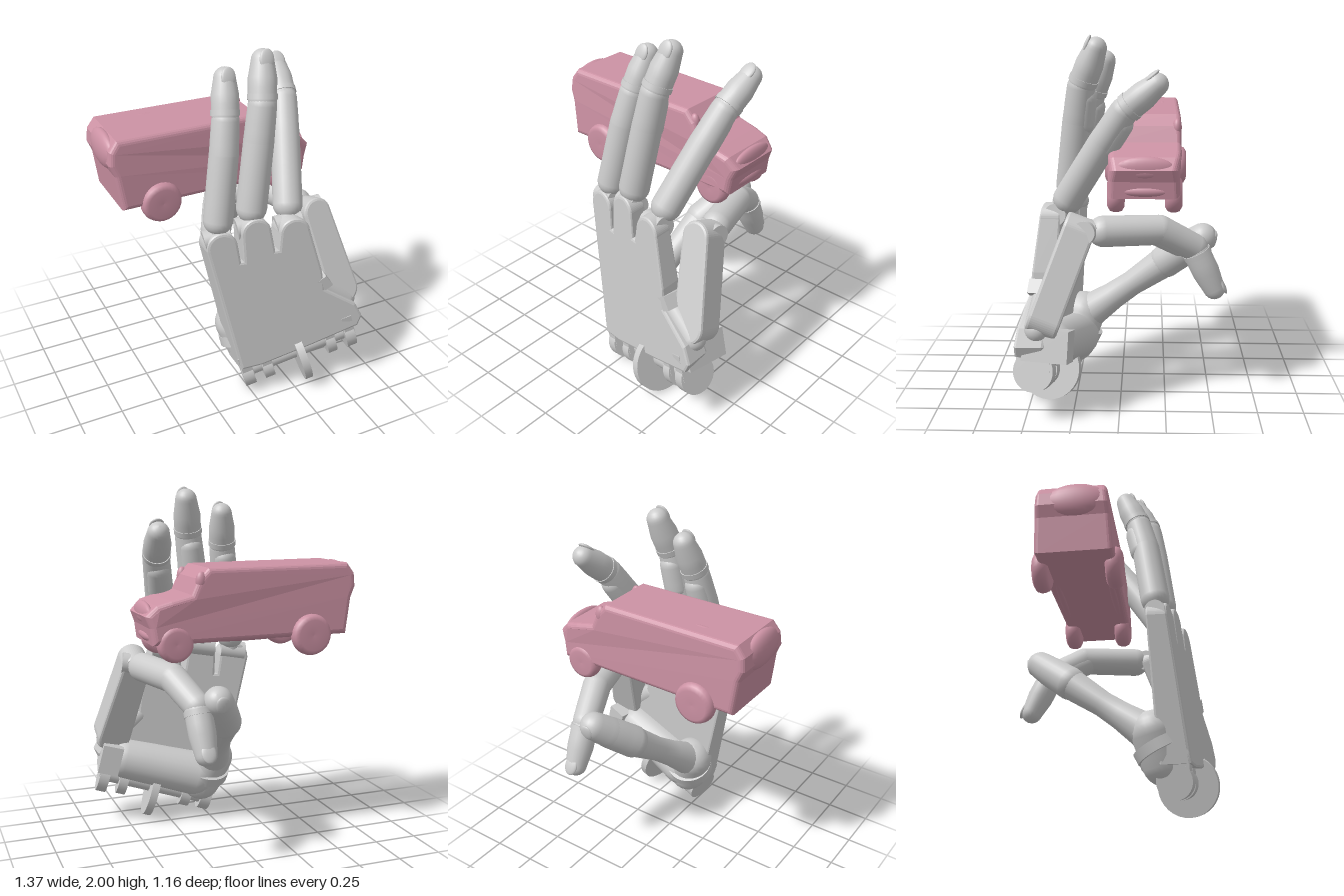
import * as THREE from 'three';

const grey = new THREE.MeshStandardMaterial({ color: 0xcccccc });
const pink = new THREE.MeshStandardMaterial({ color: 0xcc92a4 });
const V = (p) => new THREE.Vector3(...p);
const UP = new THREE.Vector3(0, 1, 0);
const HINGE = V([0.94, 0.28, 0.2]).normalize(); // wrist axis

// back surface of the tilted palm
const backZ = (x, y) => 0.38 + 0.19 * x - 0.08 * (y - 1);

function add(parent, name, geo, mat = grey) {
  const m = new THREE.Mesh(geo, mat);
  m.name = name;
  parent.add(m);
  return m;
}

// round limb between two joint centres, radii r0 and r1, optional waist radius
function limb(parent, name, a, b, r0, r1, waist = (r0 + r1) / 2) {
  const A = V(a), d = V(b).sub(A), L = d.length(), pts = [], n = 6;
  for (let i = 0; i <= n; i++) {
    const t = (i / n) * Math.PI / 2;
    pts.push(new THREE.Vector2(r0 * Math.sin(t), -r0 * Math.cos(t)));
  }
  pts.push(new THREE.Vector2((r0 + waist * 3) / 4, L * 0.3), new THREE.Vector2(waist, L * 0.55));
  for (let i = 0; i <= n; i++) {
    const t = (i / n) * Math.PI / 2;
    pts.push(new THREE.Vector2(r1 * Math.cos(t), L + r1 * Math.sin(t)));
  }
  const m = add(parent, name, new THREE.LatheGeometry(pts, 24));
  m.position.copy(A);
  m.quaternion.setFromUnitVectors(UP, d.normalize());
  return m;
}

// cylinder centred at c along an axis
function disc(parent, name, c, axis, r, h) {
  const m = add(parent, name, new THREE.CylinderGeometry(r, r, h, 32));
  m.position.copy(V(c));
  m.quaternion.setFromUnitVectors(UP, axis.clone().normalize());
  return m;
}

// finger: knuckle, proximal, middle and distal joints, then the tip
function finger(parent, name, [k, p, m, t], r) {
  const g = new THREE.Group();
  g.name = name;
  parent.add(g);
  const K = V(k), P = V(p), M = V(m), T = V(t);
  const d = T.clone().sub(M).normalize();
  const n = new THREE.Vector3(1, 0, 0).cross(d).normalize(); // outer side
  disc(g, 'knucklePin', k, V([1, 0.15, 0.2]), r * 0.72, r * 1.8);
  const start = K.clone().lerp(P, 0.22).toArray();
  limb(g, 'knuckleLink', k, start, r * 0.65, r * 0.65);
  limb(g, 'proximal', start, p, r, r * 0.97);
  limb(g, 'middleSegment', p, m, r * 0.97, r * 0.9);
  // padded inner side of the middle joint
  const inner = (q) => q.clone().addScaledVector(n, -0.025).toArray();
  limb(g, 'jointPad', inner(P), inner(P.clone().lerp(M, 0.7)), r * 0.85, r * 0.8);
  disc(g, 'distalCollar', M.clone().addScaledVector(d, 0.04).toArray(), d, r * 0.95, 0.03);
  const tip = T.clone().addScaledVector(d, -r * 0.72);
  limb(g, 'distal', M.clone().addScaledVector(d, 0.03).toArray(), tip.toArray(), r * 0.9, r * 0.72, r * 0.9);
  // nail set into the outer side of the tip
  const nail = add(g, 'nail', new THREE.SphereGeometry(1, 16, 10));
  nail.scale.set(r * 0.5, r * 0.66, r * 0.17);
  nail.position.copy(tip).addScaledVector(n, r * 0.6);
  nail.quaternion.setFromRotationMatrix(
    new THREE.Matrix4().makeBasis(d.clone().cross(n).normalize(), d, n));
}

function buildHand() {
  const hand = new THREE.Group();
  hand.name = 'hand';

  // palm plate with rounded lugs under three knuckles, sheared onto the tilted plane
  const s = new THREE.Shape();
  s.moveTo(-0.06, 0.2);
  s.lineTo(-0.225, 0.98);
  s.absarc(-0.155, 0.99, 0.07, Math.PI, 0.1, true);
  s.lineTo(-0.068, 0.875);
  s.lineTo(-0.025, 0.875);
  s.absarc(0.035, 1.05, 0.067, Math.PI, 0.1, true);
  s.lineTo(0.125, 0.915);
  s.lineTo(0.17, 0.915);
  s.absarc(0.25, 1.02, 0.07, Math.PI, 0.1, true);
  [[0.395, 0.75], [0.41, 0.63], [0.6, 0.5], [0.64, 0.42], [0.62, 0.37], [0.35, 0.29], [0.05, 0.21]]
    .forEach(([x, y]) => s.lineTo(x, y));
  s.closePath();
  const bevel = 0.015;
  const geo = new THREE.ExtrudeGeometry(s, {
    depth: 0.13, bevelSize: bevel, bevelThickness: bevel, bevelSegments: 2, curveSegments: 14 });
  const pos = geo.attributes.position;
  for (let i = 0; i < pos.count; i++) {
    const x = pos.getX(i), y = pos.getY(i);
    const thick = 1.2 - 0.45 * y; // thinner towards the knuckles
    pos.setZ(i, (pos.getZ(i) - 0.145) * thick + backZ(x, y));
  }
  geo.computeVertexNormals();
  add(hand, 'palm', geo);

  // wrist lugs, crossbar and the pulley disc
  [[0.0, 0.11, 0.1, 0.065], [0.12, 0.13, 0.09, 0.06], [0.5, 0.24, 0.1, 0.055], [0.615, 0.275, 0.11, 0.06]]
    .forEach(([x, y, r, h]) => {
      const z = backZ(x, y) - 0.11;
      disc(hand, 'wristLug', [x, y, z], HINGE, r, h);
      const web = add(hand, 'wristLugWeb', new THREE.BoxGeometry(h, 0.16, r * 1.7));
      web.position.set(x - 0.02, y + 0.08, z);
      web.quaternion.setFromUnitVectors(new THREE.Vector3(1, 0, 0), HINGE);
    });
  disc(hand, 'wristBar', [0.31, 0.2, 0.39], HINGE, 0.06, 0.6);
  disc(hand, 'wristPulley', [0.325, 0.17, 0.395], HINGE, 0.175, 0.045);

  // deep heel of the palm on the inner side
  limb(hand, 'palmHeel', [0.5, 0.385, 0.36], [0.08, 0.27, 0.27], 0.12, 0.135);
  const block = add(hand, 'heelBlock', new THREE.BoxGeometry(0.12, 0.17, 0.25));
  block.position.set(0.59, 0.41, 0.375);
  block.rotation.set(0, -0.2, 0.25);

  // folding outer metacarpal and its hinge
  limb(hand, 'metacarpalHinge', [0.4, 0.645, 0.4], [0.59, 0.5, 0.43], 0.065, 0.07);
  const plate = add(hand, 'metacarpalHingePlate', new THREE.BoxGeometry(0.15, 0.08, 0.12));
  plate.position.set(0.4, 0.65, 0.42);
  plate.rotation.set(0, -0.2, 0.6);
  const mcA = V([0.572, 0.555, 0.385]), mcB = V([0.475, 1.0, 0.215]);
  const stadium = new THREE.Shape();
  const len = mcA.distanceTo(mcB);
  stadium.absarc(0, 0, 0.082, Math.PI, 2 * Math.PI, false);
  stadium.absarc(0, len, 0.068, 0, Math.PI, false);
  const mg = new THREE.ExtrudeGeometry(stadium, {
    depth: 0.14, bevelSize: 0.015, bevelThickness: 0.015, bevelSegments: 2, curveSegments: 12 });
  mg.translate(0, 0, -0.07);
  const mc = add(hand, 'outerMetacarpal', mg);
  mc.position.copy(mcA);
  mc.quaternion.setFromUnitVectors(UP, mcB.clone().sub(mcA).normalize());

  // three raised fingers and the curled outer finger
  finger(hand, 'indexFinger', [[-0.16, 1.02, 0.28], [-0.085, 1.48, 0.215], [-0.057, 1.65, 0.175], [-0.015, 1.905, 0.075]], 0.082);
  finger(hand, 'middleFinger', [[0.03, 1.06, 0.3], [0.105, 1.53, 0.245], [0.135, 1.72, 0.22], [0.185, 1.985, 0.115]], 0.085);
  finger(hand, 'ringFinger', [[0.25, 1.04, 0.34], [0.355, 1.45, 0.09], [0.4, 1.62, -0.02], [0.445, 1.8, -0.235]], 0.083);
  finger(hand, 'littleFinger', [[0.48, 1.0, 0.17], [0.37, 0.985, -0.21], [0.3, 0.87, -0.4], [0.29, 0.58, -0.54]], 0.083);

  // thumb crossing in front of the palm
  const thumb = new THREE.Group();
  thumb.name = 'thumb';
  hand.add(thumb);
  limb(thumb, 'thumbHub', [0.045, 0.22, 0.28], [-0.01, 0.38, 0.23], 0.12, 0.125);
  disc(thumb, 'thumbHubRing', [0.02, 0.3, 0.255], V([-0.1, 0.9, -0.45]), 0.14, 0.06);
  limb(thumb, 'thumbProximal', [0, 0.4, 0.18], [0.09, 0.73, -0.25], 0.1, 0.09, 0.072);
  limb(thumb, 'thumbMiddle', [0.09, 0.73, -0.25], [0.155, 0.83, -0.37], 0.095, 0.09);
  limb(thumb, 'thumbDistal', [0.155, 0.83, -0.37], [0.2, 0.9, -0.45], 0.09, 0.08);
  const nail = add(thumb, 'thumbNail', new THREE.SphereGeometry(0.04, 16, 10));
  nail.scale.set(1, 1.2, 0.35);
  nail.position.set(0.2, 0.89, -0.515);
  nail.rotation.x = -0.2;
  return hand;
}

function buildVan() {
  const van = new THREE.Group();
  van.name = 'van';

  // side profile with bonnet, extruded across and narrowed to the roof and nose
  const s = new THREE.Shape();
  const outline = [[-0.585, 1.22], [-0.61, 1.4], [-0.635, 1.46], [-0.63, 1.52], [-0.6, 1.56], [0.19, 1.555], [0.235, 1.51],
    [0.275, 1.42], [0.4, 1.39], [0.47, 1.37], [0.51, 1.33], [0.49, 1.28], [0.48, 1.21]];
  outline.forEach(([x, y], i) => (i ? s.lineTo(x, y) : s.moveTo(x, y)));
  s.closePath();
  const geo = new THREE.ExtrudeGeometry(s, {
    depth: 0.37, bevelSize: 0.028, bevelThickness: 0.028, bevelSegments: 4 });
  geo.translate(0, 0, -0.185);
  const p = geo.attributes.position;
  for (let i = 0; i < p.count; i++) {
    const x = p.getX(i), y = p.getY(i);
    const nose = Math.max(0, x - 0.42);
    const k = 1 - 0.35 * Math.max(0, y - 1.3) - 0.16 * Math.max(0, x) - 9 * nose * nose;
    p.setZ(i, p.getZ(i) * k - 0.125 - 0.04 * Math.max(0, y - 1.3));
  }
  geo.computeVertexNormals();
  add(van, 'vanBody', geo, pink);

  // soft rounded wheels, the front pair tucked under the body
  for (const [x, r, half] of [[-0.39, 0.115, 0.2], [0.38, 0.1, 0.152]])
    for (const side of [-1, 1]) {
      const profile = [[0, -0.045], [r - 0.03, -0.045], [r - 0.008, -0.032], [r, -0.01],
        [r, 0.01], [r - 0.008, 0.032], [r - 0.03, 0.045], [0, 0.04]].map(([a, b]) => new THREE.Vector2(a, b));
      const wheel = add(van, 'wheel', new THREE.LatheGeometry(profile, 28), pink);
      wheel.rotation.x = side * Math.PI / 2;
      wheel.position.set(x, 1.085 + r, -0.13 + side * half);
    }

  // bumper, grille, rear bulge, mirrors and roof dent
  const blob = (name, c, size) => {
    const m = add(van, name, new THREE.SphereGeometry(0.5, 20, 14), pink);
    m.position.set(...c);
    m.scale.set(...size);
  };
  blob('rearBulge', [-0.63, 1.49, -0.11], [0.1, 0.2, 0.34]);
  blob('frontBumper', [0.48, 1.22, -0.13], [0.08, 0.07, 0.32]);
  blob('grille', [0.51, 1.345, -0.13], [0.06, 0.12, 0.3]);
  for (const side of [-1, 1]) {
    blob('mirror', [0.24, 1.515, -0.14 + side * 0.16], [0.06, 0.1, 0.05]);
    blob('underbodySill', [-0.02, 1.2, -0.125 + side * 0.15], [0.6, 0.04, 0.05]);
  }
  blob('roofVent', [-0.36, 1.582, -0.23], [0.12, 0.012, 0.03]);
  return van;
}

export function createModel() {
  const model = new THREE.Group();
  model.name = 'handHoldingVan';
  model.add(buildHand(), buildVan());
  return model;
}
